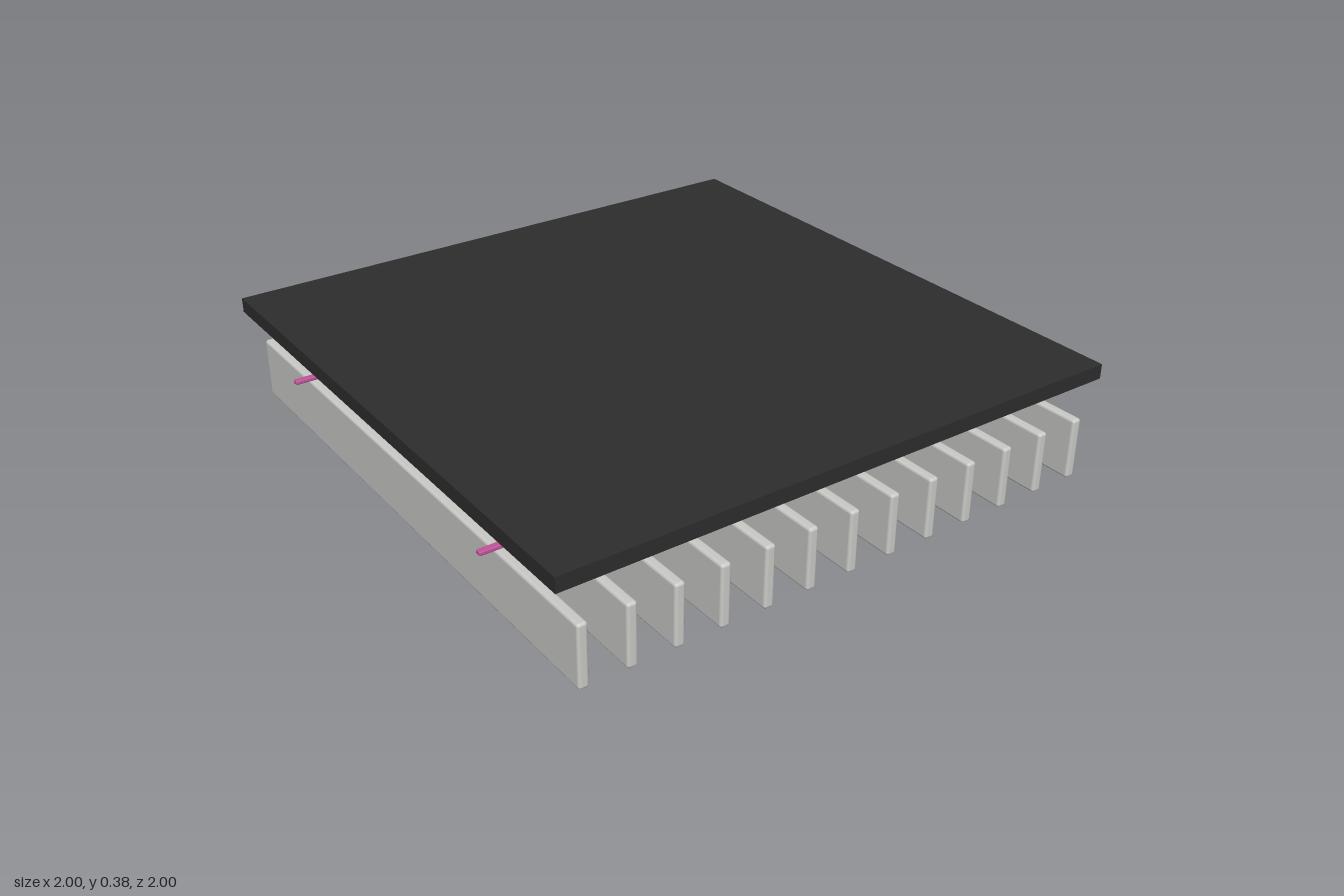
import * as THREE from 'three';
import { RoundedBoxGeometry } from 'three/addons/geometries/RoundedBoxGeometry.js';

export function createModel() {
  const group = new THREE.Group();
  const paint = (name, color) => {
    const m = new THREE.MeshStandardMaterial({ color });
    m.name = name;
    return m;
  };
  const charcoal = paint('charcoal', 0x2d2d2d);
  const paleGrey = paint('pale grey', 0xcacac7);
  const pink = paint('pink', 0xc2559a);

  const add = (name, geometry, material, x, y, z) => {
    const mesh = new THREE.Mesh(geometry, material);
    mesh.name = name;
    mesh.position.set(x, y, z);
    group.add(mesh);
  };

  // flat top panel
  add('topPanel', new THREE.BoxGeometry(2, 0.05, 2), charcoal, 0, 0.358, 0);

  // two thin cross rods
  const rod = new RoundedBoxGeometry(2, 0.014, 0.022, 2, 0.004);
  for (const z of [-0.6, 0.6]) add('crossRod', rod, pink, 0, 0.234, z);

  // row of upright slats with softened edges
  const slat = new RoundedBoxGeometry(0.034, 0.21, 2, 3, 0.01);
  const count = 13, pitch = 0.1536;
  for (let i = 0; i < count; i++) {
    add('slat', slat, paleGrey, (i - (count - 1) / 2) * pitch, 0.105, 0);
  }
  return group;
}
